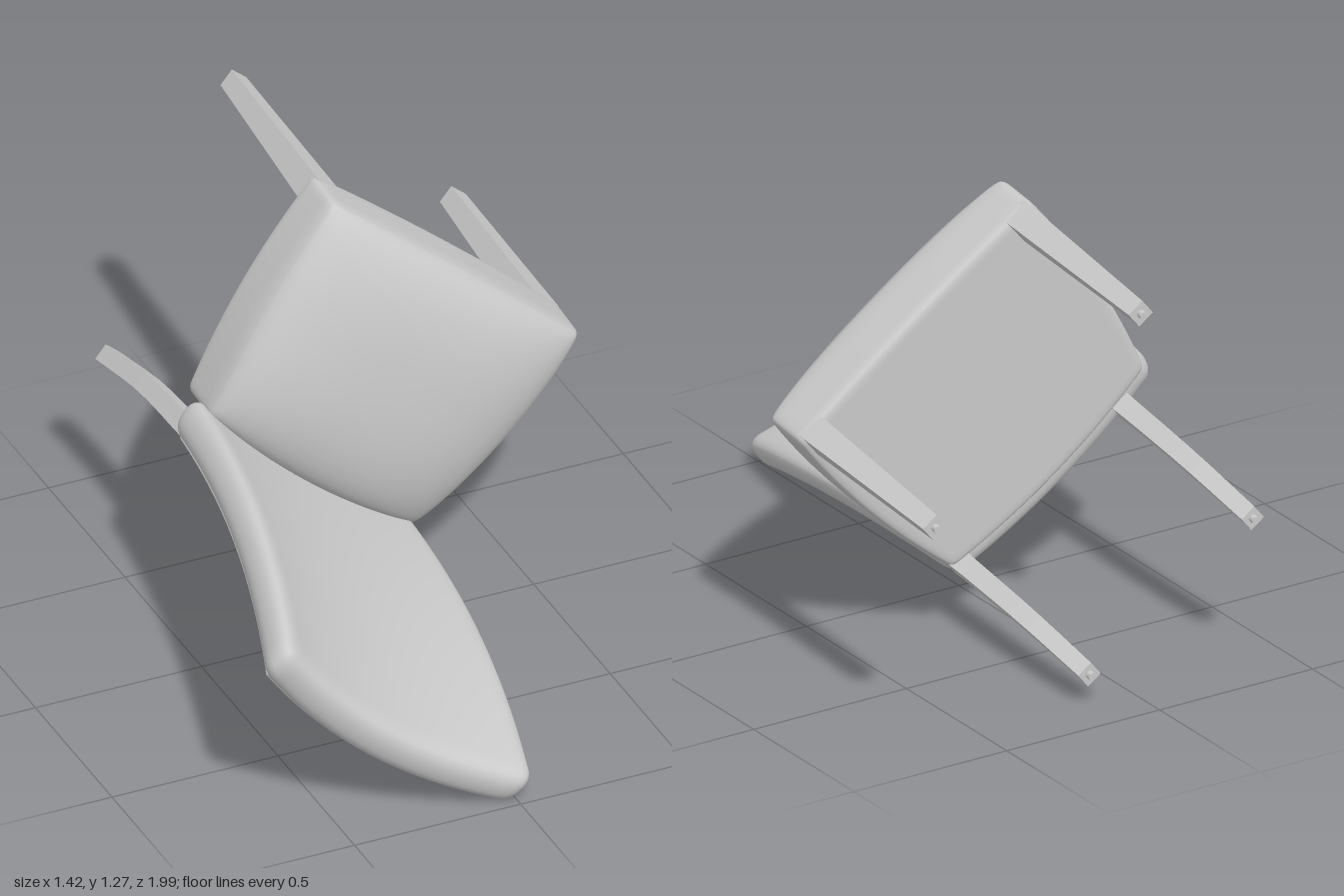
import * as THREE from 'three';
import { mergeVertices } from 'three/addons/utils/BufferGeometryUtils.js';

const mat = new THREE.MeshStandardMaterial({ color: 0xcccccc });
const { clamp, lerp } = THREE.MathUtils;

// Rounded box whose vertices are then moved by a rule; half = half sizes, r = edge radius
function softBox(half, segs, r, rule) {
  let g = new THREE.BoxGeometry(2, 2, 2, ...segs);
  g.deleteAttribute('uv');
  g.deleteAttribute('normal');
  const pos = g.attributes.position;
  const p = new THREE.Vector3(), core = new THREE.Vector3();
  for (let i = 0; i < pos.count; i++) {
    const q = [pos.getX(i), pos.getY(i), pos.getZ(i)]
      .map((t, k) => Math.sin(clamp(t, -1, 1) * Math.PI / 2) * half[k]);
    p.fromArray(q);
    core.fromArray(q.map((t, k) => clamp(t, -(half[k] - r), half[k] - r)));
    p.sub(core).setLength(r).add(core);
    pos.setXYZ(i, ...rule(p.x, p.y, p.z));
  }
  g = mergeVertices(g, 1e-5);
  g.computeVertexNormals();
  return g;
}

// Seat: wider at the front, bowed sides, domed top
function seatRule(x, y, z) {
  const a = clamp(x / 0.44, -1, 1), b = clamp(z / 0.35, -1, 1);
  const dome = ((1 - Math.abs(a) ** 2.5) * (1 - Math.abs(b) ** 2.5)) ** 0.45;
  const width = lerp(0.865, 1.045, (b + 1) / 2);
  return [
    x * width + 0.028 * a * (1 - b * b),
    (y + 0.09) * (0.165 + 0.13 * dome) / 0.18,
    z + (b < 0 ? 0.035 : 0.012) * b * (1 - a * a),
  ];
}

// Backrest: leans back in a curve and is hollowed across its width
function backRule(x, y, z) {
  const a = clamp(x / 0.465, -1, 1), v = clamp((y + 0.605) / 1.21, 0, 1);
  const hollow = 1 - a * a;
  return [
    x * lerp(0.85, 1, v) + 0.012,
    0.07 + 1.21 * v - 0.02 * v * hollow + z * 0.37 * v ** 1.2,
    -0.39 - 0.205 * v ** 2.2 - (0.035 + 0.045 * v) * hollow + z,
  ];
}

// Square leg lofted through stations [x, y, z, side], top to bottom
function legGeometry(stations) {
  const verts = [], index = [];
  for (const [x, y, z, s] of stations) {
    for (const [i, k] of [[1, 1], [1, -1], [-1, -1], [-1, 1]]) verts.push(x + i * s / 2, y, z + k * s / 2);
  }
  const n = stations.length;
  for (let j = 0; j < n - 1; j++) {
    for (let i = 0; i < 4; i++) {
      const a = j * 4 + i, b = j * 4 + (i + 1) % 4;
      index.push(a, a + 4, b, b, a + 4, b + 4);
    }
  }
  const e = (n - 1) * 4;
  index.push(0, 1, 2, 0, 2, 3, e, e + 2, e + 1, e, e + 3, e + 2);
  const g = new THREE.BufferGeometry();
  g.setAttribute('position', new THREE.Float32BufferAttribute(verts, 3));
  g.setIndex(index);
  const flat = g.toNonIndexed();
  flat.computeVertexNormals();
  return flat;
}

export function createModel() {
  const chair = new THREE.Group();
  chair.name = 'chair';
  const add = (name, geometry, parent = chair) => {
    const m = new THREE.Mesh(geometry, mat);
    m.name = name;
    parent.add(m);
    return m;
  };

  add('seat', softBox([0.44, 0.09, 0.35], [28, 10, 28], 0.022, seatRule));
  add('backrest', softBox([0.465, 0.605, 0.058], [28, 32, 10], 0.05, backRule));
  // Thin lining on the rear of the backrest
  add('backPanel', softBox([0.425, 0.565, 0.005], [20, 24, 2], 0.003,
    (x, y, z) => backRule(x, y, z - 0.057)));

  // Each leg ends in a small glide
  const addLeg = (name, stations) => {
    const leg = new THREE.Group();
    leg.name = name;
    chair.add(leg);
    add(name + 'Post', legGeometry(stations), leg);
    const [x, y, z] = stations[stations.length - 1];
    add(name + 'Glide', new THREE.CylinderGeometry(0.012, 0.012, 0.02, 10), leg)
      .position.set(x, y - 0.007, z);
  };

  // Straight tapered front legs
  for (const [name, x] of [['frontLeftLeg', 0.411], ['frontRightLeg', -0.403]]) {
    addLeg(name, [[x, 0.03, 0.311, 0.08], [x, -0.64, 0.313, 0.054]]);
  }

  // Back legs sweep rearwards
  const sweep = new THREE.CatmullRomCurve3([
    [0, 0.09, -0.428], [0, 0, -0.436], [-0.004, -0.3, -0.458], [-0.012, -0.575, -0.505],
  ].map((p) => new THREE.Vector3(...p)));
  for (const [name, x, dz] of [['backLeftLeg', 0.274, -0.015], ['backRightLeg', -0.347, 0.018]]) {
    addLeg(name, sweep.getPoints(10).map((p, i) => [x + p.x, p.y, p.z + dz, 0.06 - 0.001 * i]));
  }

  // Lay the chair on its back, rolled to one side
  chair.applyMatrix4(new THREE.Matrix4().makeBasis(
    new THREE.Vector3(-0.776, 0.626, -0.078),
    new THREE.Vector3(-0.066, 0.042, 1).normalize(),
    new THREE.Vector3(0.628, 0.778, 0.009),
  ));
  chair.position.set(0.125, 0.723, -0.308);

  const model = new THREE.Group();
  model.name = 'recliningChair';
  model.add(chair);
  return model;
}
